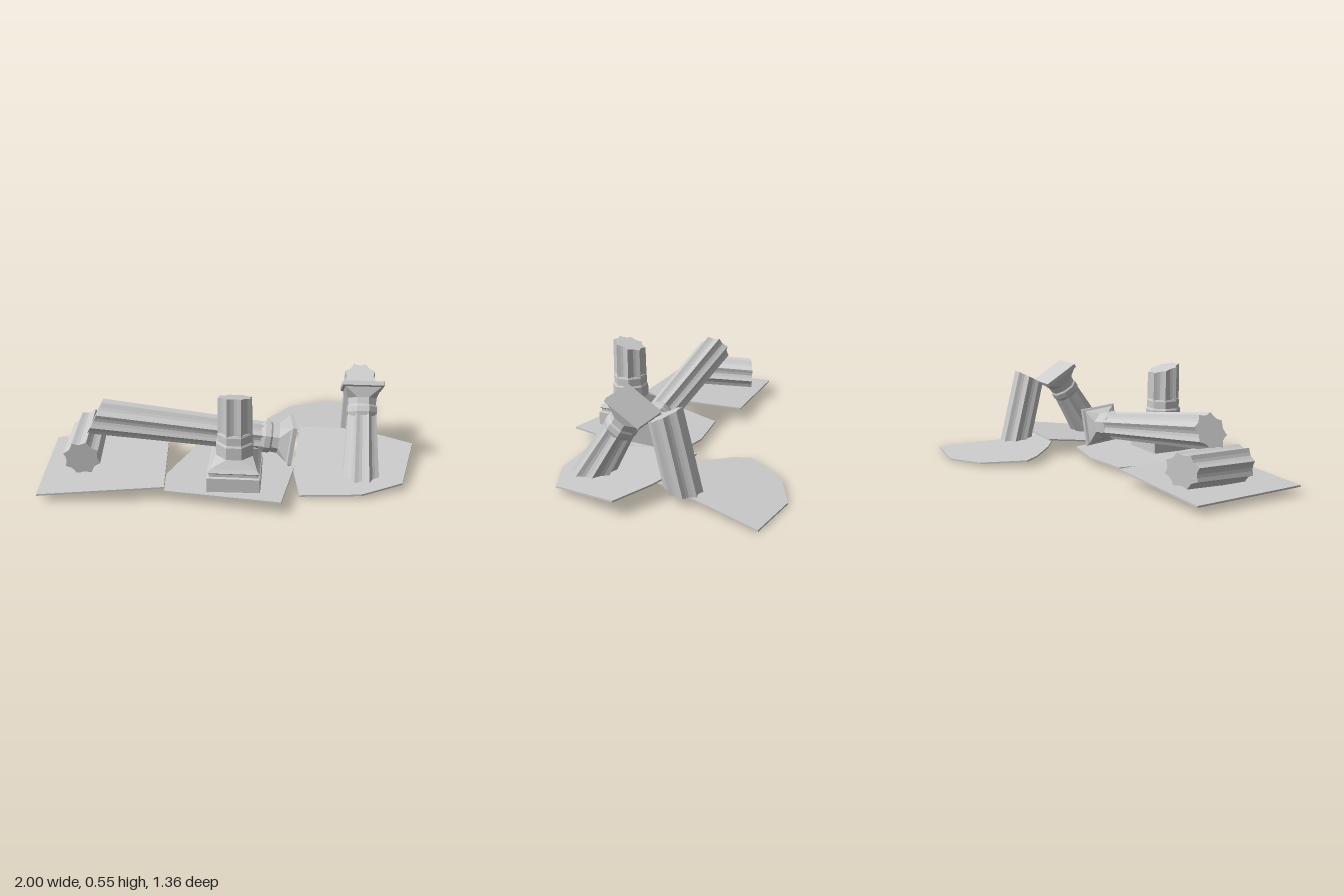
import * as THREE from 'three';

const stone = new THREE.MeshStandardMaterial({ color: 0xcccccc, flatShading: true });
const UP = new THREE.Vector3(0, 1, 0);

// Cross-sections as lists of [x, z]
const octagon = (r) => Array.from({ length: 8 }, (_, i) => {
  const a = (i + 0.5) * Math.PI / 4;
  return [r * Math.cos(a), r * Math.sin(a)];
});

// Square with barely clipped corners, so it lofts into an octagon
const square = (h) => {
  const k = h * 0.98;
  return [[h, k], [k, h], [-k, h], [-h, k], [-h, -k], [-k, -h], [k, -h], [h, -k]];
};

// Eight sharp ridges with concave flutes between them
const FLUTE = [1, 0.86, 0.81, 0.86];
const fluted = (r) => Array.from({ length: 32 }, (_, i) => {
  const a = Math.PI / 8 + i * Math.PI / 16;
  const q = r * FLUTE[i % 4];
  return [q * Math.cos(a), q * Math.sin(a)];
});

// Closed solid through sections { y, pts, cut: [slope x, slope z] }
function loft(name, sections) {
  const n = sections[0].pts.length;
  const pos = [];
  const rings = sections.map(({ y, pts, cut = [0, 0] }) =>
    pts.map(([x, z]) => [x, y + cut[0] * x + cut[1] * z, z]));
  const tri = (...corners) => corners.forEach((c) => pos.push(...c));
  for (let s = 0; s < rings.length - 1; s++) {
    const a = rings[s], b = rings[s + 1];
    for (let i = 0; i < n; i++) {
      const j = (i + 1) % n;
      tri(a[i], b[i], b[j]);
      tri(a[i], b[j], a[j]);
    }
  }
  const last = sections.length - 1;
  for (let i = 0; i < n; i++) {
    const j = (i + 1) % n;
    tri([0, sections[0].y, 0], rings[0][i], rings[0][j]);
    tri([0, sections[last].y, 0], rings[last][j], rings[last][i]);
  }
  const geo = new THREE.BufferGeometry();
  geo.setAttribute('position', new THREE.Float32BufferAttribute(pos, 3));
  geo.computeVertexNormals();
  const mesh = new THREE.Mesh(geo, stone);
  mesh.name = name;
  return mesh;
}

// Fluted shaft with slanted, broken ends
const shaft = (y0, y1, r0, r1, cut0, cut1) => loft('shaft', [
  { y: y0, pts: fluted(r0), cut: cut0 },
  { y: y1, pts: fluted(r1), cut: cut1 },
]);

// Capital whose top face lies at height y
const capital = (y) => loft('capital', [
  { y: y - 0.175, pts: octagon(0.074) },
  { y: y - 0.155, pts: octagon(0.084) },
  { y: y - 0.125, pts: octagon(0.084) },
  { y: y - 0.115, pts: octagon(0.077) },
  { y: y - 0.08, pts: octagon(0.08) },
  { y: y - 0.028, pts: square(0.095) },
  { y: y - 0.022, pts: square(0.108) },
  { y, pts: square(0.108) },
]);

// Square plinth rising through a broach into an octagonal collar
const plinth = () => loft('plinth', [
  { y: 0, pts: square(0.135) },
  { y: 0.08, pts: square(0.135) },
  { y: 0.085, pts: square(0.124) },
  { y: 0.1, pts: square(0.124) },
  { y: 0.108, pts: square(0.132) },
  { y: 0.125, pts: square(0.118) },
  { y: 0.165, pts: octagon(0.1) },
  { y: 0.23, pts: octagon(0.1) },
  { y: 0.24, pts: octagon(0.093) },
  { y: 0.28, pts: octagon(0.093) },
  { y: 0.29, pts: octagon(0.088) },
]);

// Group standing at a with its axis pointing to b; build(length) gives its parts
function between(name, a, b, build) {
  const from = new THREE.Vector3(...a);
  const dir = new THREE.Vector3(...b).sub(from);
  const group = new THREE.Group();
  group.name = name;
  group.add(...build(dir.length()));
  group.position.copy(from);
  group.quaternion.setFromUnitVectors(UP, dir.normalize());
  return group;
}

// Thin ground slab from an [x, z] outline, underside on y = a + b*x + c*z
function slab(name, outline, [a, b, c], thickness = 0.009) {
  const shape = new THREE.Shape(outline.map(([x, z]) => new THREE.Vector2(x, -z)));
  const geo = new THREE.ExtrudeGeometry(shape, { depth: thickness, bevelEnabled: false });
  geo.rotateX(-Math.PI / 2);
  const p = geo.attributes.position;
  for (let i = 0; i < p.count; i++) {
    p.setY(i, p.getY(i) + a + b * p.getX(i) + c * p.getZ(i));
  }
  geo.computeVertexNormals();
  const mesh = new THREE.Mesh(geo, stone);
  mesh.name = name;
  return mesh;
}

export function createModel() {
  const model = new THREE.Group();
  model.name = 'ruinedColumns';

  // Tilted paving slabs
  model.add(
    slab('rightSlab', [[-1, 0], [-0.365, -0.06], [-0.305, 0.585], [-0.945, 0.645]],
      [0.09, 0.055, 0]),
    slab('middleSlab', [[-0.2, 0.03], [0.075, -0.01], [0.335, 0.03], [0.355, 0.22],
      [0.285, 0.675], [-0.305, 0.585], [-0.32, 0.4]], [0.031, 0.012, 0.043]),
    slab('leftSlab', [[0.375, -0.125], [0.62, -0.125], [0.78, -0.085], [0.995, 0.01],
      [0.905, 0.385], [0.69, 0.495], [0.375, 0.52], [0.34, 0.3]], [0.075, 0, -0.112]),
    slab('backSlab', [[0.18, -0.35], [0.32, -0.575], [0.53, -0.685], [0.845, -0.655],
      [0.75, -0.3], [0.66, 0.05], [0.375, -0.135], [0.23, -0.27]], [0.0562, 0, 0.082]),
  );

  // Standing stump on its plinth
  model.add(between('standingColumn', [0.043, 0.06, 0.45], [0.043, 0.527, 0.45], (len) => [
    plinth(),
    shaft(0.28, len, 0.092, 0.09, [0, 0], [0, 0.28]),
  ]));

  // Column leaning backwards, with its capital
  model.add(between('leaningColumn', [0.695, 0.05, 0.3], [0.695, 0.447, 0.05], (len) => [
    shaft(0, len - 0.165, 0.1, 0.08, [0, -0.68], [0, 0]),
    capital(len),
  ]));

  // Long fallen column
  model.add(between('fallenColumn', [-0.71, 0.312, 0.265], [0.333, 0.167, 0.18], (len) => [
    shaft(0, len - 0.165, 0.096, 0.08, [-0.34, 0], [0, 0]),
    capital(len),
  ]));

  // Short drum lying under the fallen column
  model.add(between('lyingFragment', [-0.757, 0.142, 0.425], [-0.79, 0.155, 0.048], (len) => [
    shaft(0, len, 0.098, 0.092, [0, 0], [0.42, 0]),
  ]));

  // Broken shaft propped behind the leaning column
  model.add(between('proppedFragment', [0.697, 0.05, -0.21], [0.697, 0.425, -0.118], (len) => [
    shaft(0, len, 0.092, 0.09, [0, 0.32], [0, -0.26]),
  ]));

  return model;
}
